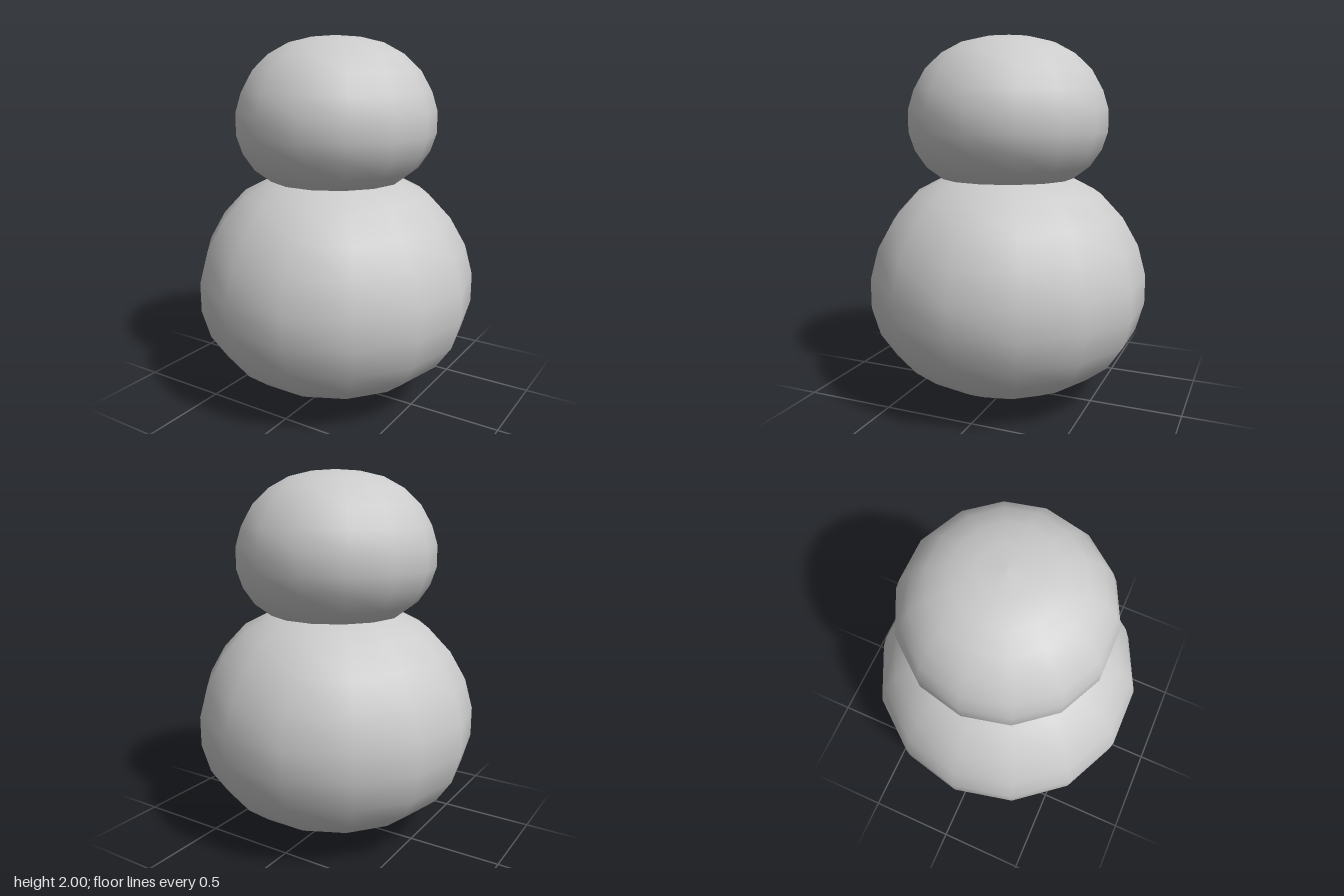
import * as THREE from 'three';

const SIDES = 14;
const ROWS = 13;

// Smooth round ball: ring radii follow a circle, ring heights give its squash
function ball(name, radius, heights, material) {
  const profile = heights.map((y, i) =>
    new THREE.Vector2(i % ROWS === 0 ? 0 : radius * Math.sin((i * Math.PI) / ROWS), y));
  const mesh = new THREE.Mesh(
    new THREE.LatheGeometry(profile, SIDES, Math.PI / 2), material);
  mesh.name = name;
  return mesh;
}

export function createModel() {
  const group = new THREE.Group();
  group.name = 'stackedBalls';
  const material = new THREE.MeshStandardMaterial({ color: 0xcccccc });

  // Large lower ball; its cap above 1.237 sits inside the head
  group.add(ball('body', 0.774, [
    0, 0.028, 0.087, 0.166, 0.263, 0.392, 0.548,
    0.707, 0.874, 1.026, 1.158, 1.237, 1.285, 1.3,
  ], material));

  // Smaller upper ball; its base below 1.237 sits inside the body
  group.add(ball('head', 0.55, [
    1.155, 1.165, 1.19, 1.237, 1.303, 1.394, 1.491,
    1.608, 1.711, 1.82, 1.903, 1.962, 1.991, 2,
  ], material));

  return group;
}
